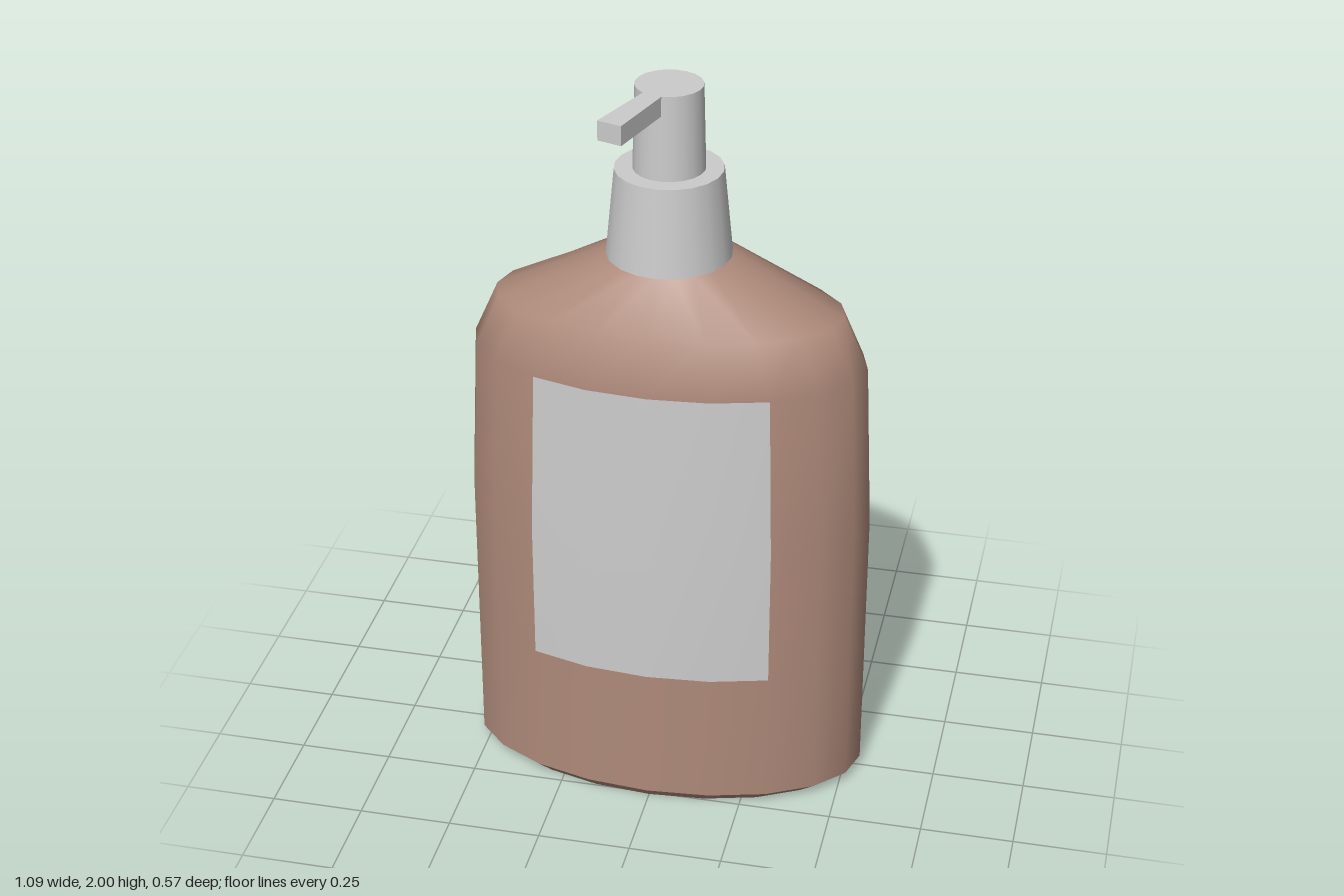
import * as THREE from 'three';

const SIDES = 20;

// Skin through elliptical rings [y, rx, rz], from side index a to b (a full turn is welded).
function loft(rings, a = 0, b = SIDES, grow = 0) {
  const full = b - a === SIDES;
  const cols = full ? SIDES : b - a + 1;
  const pos = [], idx = [];
  for (const [y, rx, rz] of rings) {
    for (let i = 0; i < cols; i++) {
      const t = ((a + i) / SIDES) * Math.PI * 2;
      pos.push((rx + grow) * Math.cos(t), y, (rz + grow) * Math.sin(t));
    }
  }
  for (let r = 0; r < rings.length - 1; r++) {
    for (let i = 0; i < b - a; i++) {
      const p = r * cols + i, q = r * cols + ((i + 1) % cols);
      idx.push(p, p + cols, q, q, p + cols, q + cols);
    }
  }
  const g = new THREE.BufferGeometry();
  g.setAttribute('position', new THREE.Float32BufferAttribute(pos, 3));
  g.setIndex(idx);
  g.computeVertexNormals();
  return g;
}

export function createModel() {
  const group = new THREE.Group();
  const grey = new THREE.MeshStandardMaterial({ color: 0xcccccc });
  const brown = new THREE.MeshStandardMaterial({ color: 0xae8a7a });
  const add = (name, geometry, material, y = 0) => {
    const mesh = new THREE.Mesh(geometry, material);
    mesh.name = name;
    mesh.position.y = y;
    group.add(mesh);
    return mesh;
  };

  // Bottle: oval body with a rounded shoulder, and a sharp bevel at the foot
  const foot = [0, 0.495, 0.258], bevelTop = [0.03, 0.543, 0.282];
  const labelRings = [[0.41, 0.543, 0.282], [0.8, 0.543, 0.282], [1.255, 0.522, 0.271]];
  add('bottleBody', loft([bevelTop, ...labelRings, [1.4, 0.458, 0.238], [1.54, 0.16, 0.16]]), brown);
  add('footBevel', loft([foot, bevelTop]), brown);
  const base = add('bottleBase', new THREE.CircleGeometry(1, SIDES), brown);
  base.rotation.x = Math.PI / 2;
  base.scale.set(foot[1], foot[2], 1);

  // Label wrapped on the middle four front sides
  add('label', loft(labelRings, 3, 7, 0.0015), grey);

  // Pump: tapered collar and stem
  add('pumpCollar', new THREE.CylinderGeometry(0.14, 0.163, 0.235, SIDES), grey, 1.6575);
  add('pumpStem', new THREE.CylinderGeometry(0.087, 0.093, 0.225, SIDES), grey, 1.8875);

  // Spout: flat bar, widening towards its tip and turned to the side
  const start = 0.075, end = 0.283;
  const bar = new THREE.BoxGeometry(1, 0.052, end - start);
  bar.translate(0, 0, (start + end) / 2);
  const p = bar.attributes.position;
  for (let i = 0; i < p.count; i++) {
    p.setX(i, p.getX(i) * (p.getZ(i) > 0.2 ? 0.067 : 0.052));
  }
  bar.computeVertexNormals();
  const spout = add('pumpSpout', bar, grey, 1.974);
  spout.rotation.y = -0.318;

  return group;
}
